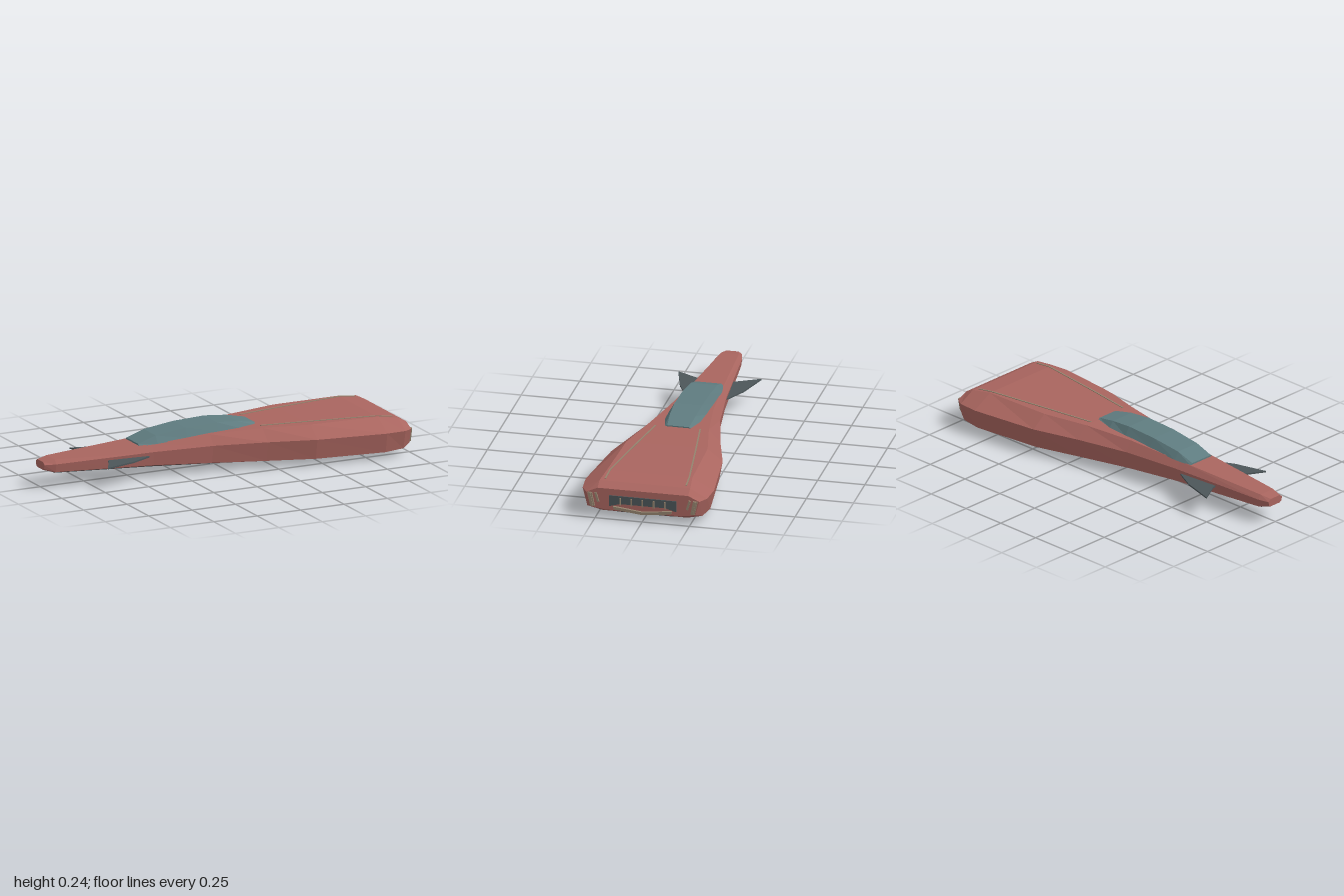
import * as THREE from 'three';

const hullRed = new THREE.MeshStandardMaterial({ color: 0xa9655f, flatShading: true, name: 'hullRed' });
const glassTeal = new THREE.MeshStandardMaterial({ color: 0x5f7c80, flatShading: true, name: 'glassTeal' });
const darkSlate = new THREE.MeshStandardMaterial({ color: 0x4c5659, flatShading: true, name: 'darkSlate' });
const ventTan = new THREE.MeshStandardMaterial({ color: 0x94836e, flatShading: true, name: 'ventTan' });

function add(group, name, geometry, material) {
  const mesh = new THREE.Mesh(geometry, material);
  mesh.name = name;
  group.add(mesh);
  return mesh;
}

// Lofts closed rings of [x, y, z] points along x, with end caps.
function loft(rings) {
  const pos = [];
  const n = rings[0].length;
  const tri = (a, b, c) => pos.push(...a, ...b, ...c);
  for (let i = 0; i < rings.length - 1; i++) {
    for (let j = 0; j < n; j++) {
      const k = (j + 1) % n;
      const a = rings[i][j], b = rings[i][k], c = rings[i + 1][k], d = rings[i + 1][j];
      tri(a, b, c);
      tri(a, c, d);
    }
  }
  const first = rings[0], last = rings[rings.length - 1];
  for (let j = 1; j < n - 1; j++) {
    tri(first[0], first[j + 1], first[j]);
    tri(last[0], last[j], last[j + 1]);
  }
  const g = new THREE.BufferGeometry();
  g.setAttribute('position', new THREE.Float32BufferAttribute(pos, 3));
  g.computeVertexNormals();
  return g;
}

// Mirrors a half section of [y, z] pairs (top to bottom) into a full ring at x.
function ring(x, half) {
  const left = half.map(([y, z]) => [x, y, z]);
  const right = half.map(([y, z]) => [x, y, -z]).reverse();
  return [...left, ...right];
}

// Flat plate in the z/y plane at the stern, reaching from x0 to x1.
function sternPlate(points, x0, x1) {
  const shape = new THREE.Shape(points.map(([z, y]) => new THREE.Vector2(-z, y)));
  const g = new THREE.ExtrudeGeometry(shape, { depth: x1 - x0, bevelEnabled: false });
  g.rotateY(Math.PI / 2);
  return g.translate(x0, 0, 0);
}

// Slanted bar on the stern between two [z, y] points.
function sternBar([z0, y0], [z1, y1], w, x0, x1) {
  const dz = z1 - z0, dy = y1 - y0, len = Math.hypot(dz, dy);
  const oz = (-dy / len) * w / 2, oy = (dz / len) * w / 2;
  return sternPlate([[z0 + oz, y0 + oy], [z1 + oz, y1 + oy], [z1 - oz, y1 - oy], [z0 - oz, y0 - oy]], x0, x1);
}

// Hull stations: x, top y, top half width, waist y, waist half width, low y, low half width, bottom y, bottom half width
const stations = [
  [-1.0, 0.14, 0.033, 0.127, 0.05, 0.105, 0.045, 0.098, 0.033],
  [-0.94, 0.15, 0.047, 0.128, 0.066, 0.086, 0.06, 0.081, 0.047],
  [-0.4, 0.175, 0.086, 0.138, 0.112, 0.066, 0.103, 0.057, 0.082],
  [-0.08, 0.196, 0.118, 0.142, 0.155, 0.049, 0.143, 0.039, 0.112],
  [0.2, 0.205, 0.162, 0.143, 0.223, 0.04, 0.207, 0.026, 0.155],
  [0.45, 0.205, 0.215, 0.143, 0.295, 0.037, 0.276, 0.02, 0.2],
  [0.83, 0.202, 0.226, 0.14, 0.34, 0.036, 0.32, 0.016, 0.235],
  [0.94, 0.187, 0.24, 0.138, 0.33, 0.04, 0.305, 0.022, 0.225],
  [0.987, 0.163, 0.24, 0.136, 0.3, 0.058, 0.278, 0.046, 0.2],
];

// Interpolated height of the hull's upper surface at x, z.
function topHeight(x, z) {
  let i = 0;
  while (i < stations.length - 2 && stations[i + 1][0] < x) i++;
  const a = stations[i], b = stations[i + 1], t = (x - a[0]) / (b[0] - a[0]);
  const s = a.map((v, k) => v + (b[k] - v) * t);
  const over = Math.max(0, Math.abs(z) - s[2]) / (s[4] - s[2]);
  return s[1] + (s[3] - s[1]) * over;
}

export function createModel() {
  const model = new THREE.Group();
  model.name = 'spacecraft';

  add(model, 'hull', loft(stations.map(([x, ty, tz, my, mz, ly, lz, by, bz]) =>
    ring(x, [[ty, tz], [my, mz], [ly, lz], [by, bz]]))), hullRed);

  // Belly panel: x, root y, root half width, keel y, keel half width
  const belly = [
    [-0.94, 0.09, 0.046, 0.077, 0.04],
    [-0.4, 0.066, 0.081, 0.05, 0.065],
    [-0.08, 0.048, 0.108, 0.031, 0.085],
    [0.2, 0.036, 0.146, 0.016, 0.11],
    [0.45, 0.03, 0.18, 0.008, 0.133],
    [0.8, 0.026, 0.21, 0, 0.153],
    [0.92, 0.03, 0.2, 0.012, 0.15],
  ];
  add(model, 'bellyPanel', loft(belly.map(([x, ry, rz, ky, kz]) =>
    ring(x, [[ry, rz], [ky, kz]]))), darkSlate);

  // Canopy: x, base y, base half width, shoulder y, shoulder half width
  const canopy = [
    [-0.47, 0.169, 0.08, 0.18, 0.068],
    [-0.37, 0.174, 0.095, 0.213, 0.07],
    [-0.2, 0.185, 0.1, 0.234, 0.073],
    [-0.02, 0.195, 0.1, 0.241, 0.073],
    [0.1, 0.201, 0.094, 0.231, 0.068],
    [0.205, 0.2, 0.074, 0.211, 0.058],
  ];
  add(model, 'canopy', loft(canopy.map(([x, by, bz, ty, tz]) =>
    ring(x, [[ty, tz], [by, bz]]))), glassTeal);

  for (const side of [1, -1]) {
    const sideName = side > 0 ? 'left' : 'right';

    // Forward-swept canard
    const outline = [[-0.4, 0.08], [-0.43, 0.113], [-0.545, 0.17], [-0.72, 0.22], [-0.66, 0.11], [-0.65, 0.07]];
    const shape = new THREE.Shape(outline.map(([x, z]) => new THREE.Vector2(x, side * z)));
    const fin = new THREE.ExtrudeGeometry(shape, { depth: 0.008, bevelEnabled: false });
    fin.rotateX(Math.PI / 2).translate(0, 0.12, 0);
    add(model, sideName + 'Canard', fin, darkSlate);

    // Thin trim strip along the deck
    const path = [[0.21, 0.118], [0.45, 0.155], [0.83, 0.21], [0.92, 0.214]];
    add(model, sideName + 'DeckStrip', loft(path.map(([x, z]) => {
      const y = topHeight(x, z) + 0.003;
      const zs = [z + 0.004, z - 0.004].map(v => v * side).sort((a, b) => b - a);
      return [[x, y, zs[1]], [x, y, zs[0]], [x, y - 0.01, zs[0]], [x, y - 0.01, zs[1]]];
    })), ventTan);

    // Slanted stern vents
    for (const off of [-0.008, 0, 0.008]) {
      add(model, sideName + 'OuterVent', sternBar([side * (0.28 + off), 0.137], [side * (0.265 + off), 0.064],
        0.007, 0.975, off ? 0.997 : 1), ventTan);
    }
    add(model, sideName + 'InnerVent', sternBar([side * 0.25, 0.138], [side * 0.235, 0.088], 0.011, 0.98, 0.996), ventTan);

    // Half of the V-shaped stern bumper
    add(model, sideName + 'SternBumper', sternPlate(
      [[0, 0.053], [side * 0.155, 0.071], [side * 0.152, 0.056], [0, 0.038]], 0.975, 1), ventTan);
  }

  // Stern exhaust panel with upright bars
  add(model, 'exhaustPanel', sternPlate(
    [[-0.178, 0.128], [0.178, 0.128], [0.178, 0.068], [0.12, 0.085], [-0.12, 0.085], [-0.178, 0.068]],
    0.983, 0.992), darkSlate);
  for (let i = -2; i <= 2; i++) {
    add(model, 'exhaustBar', new THREE.BoxGeometry(0.014, 0.04, 0.007).translate(0.991, 0.1, i * 0.059), ventTan);
  }
  return model;
}
